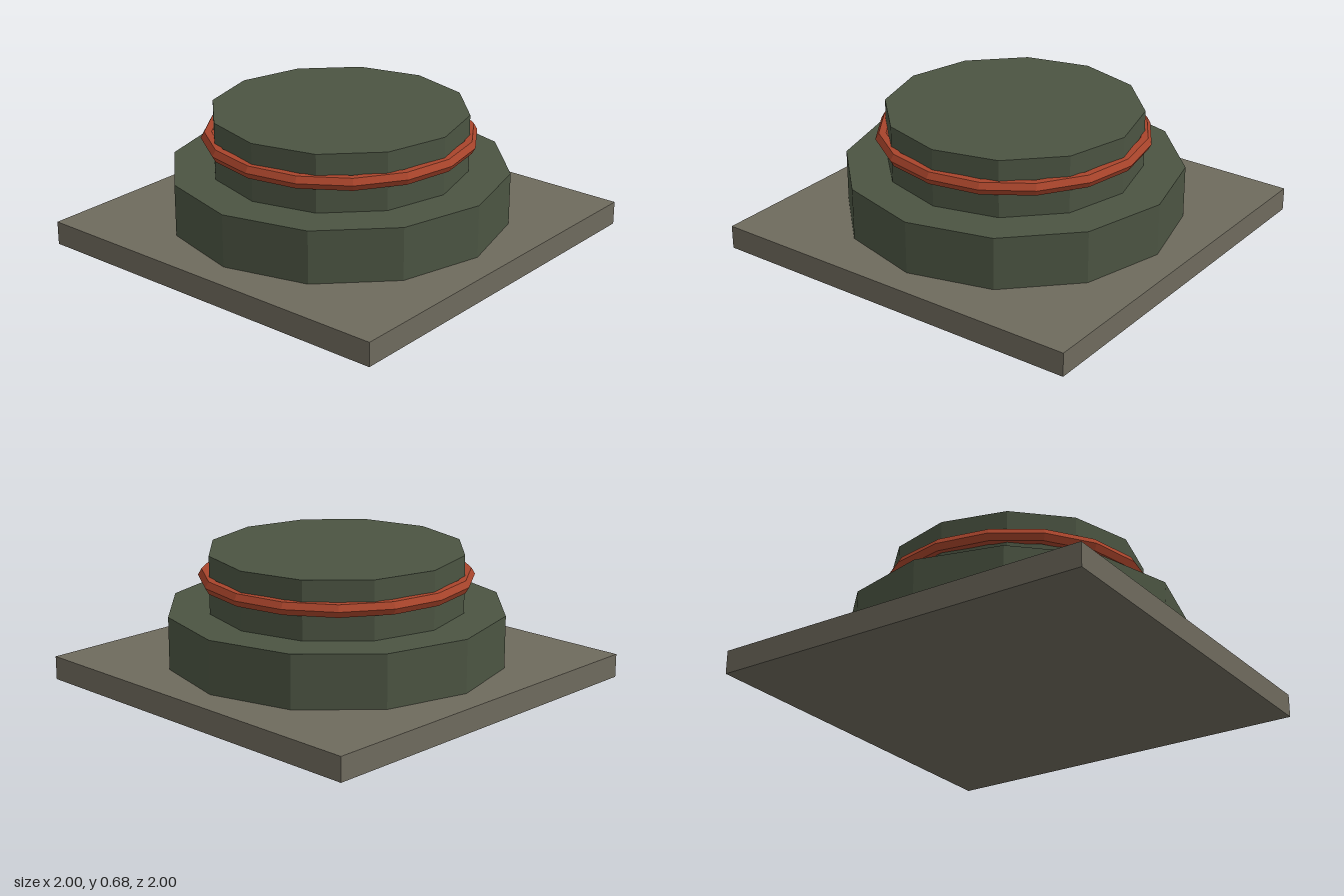
import * as THREE from 'three';

export function createModel() {
  const group = new THREE.Group();
  const flat = (name, color) => {
    const m = new THREE.MeshStandardMaterial({ color, flatShading: true });
    m.name = name;
    return m;
  };
  const stone = flat('stone', 0x6e6a5d);
  const green = flat('dark green', 0x4b5442);
  const red = flat('rust red', 0xa8442b);

  const add = (name, geometry, material, y) => {
    const mesh = new THREE.Mesh(geometry, material);
    mesh.name = name;
    mesh.position.y = y;
    group.add(mesh);
    return mesh;
  };
  // twelve-sided drum standing between two heights
  const drum = (name, radius, y0, y1) =>
    add(name, new THREE.CylinderGeometry(radius, radius, y1 - y0, 12), green, (y0 + y1) / 2);

  // square foundation slab
  add('basePlate', new THREE.BoxGeometry(2, 0.12, 2), stone, 0.06);

  // stepped body
  drum('lowerDrum', 0.852, 0.12, 0.387);
  drum('upperDrum', 0.645, 0.387, 0.68);

  // coloured band around the upper drum
  const band = add('band', new THREE.TorusGeometry(0.653, 0.036, 6, 16), red, 0.544);
  band.rotation.x = Math.PI / 2;

  return group;
}
